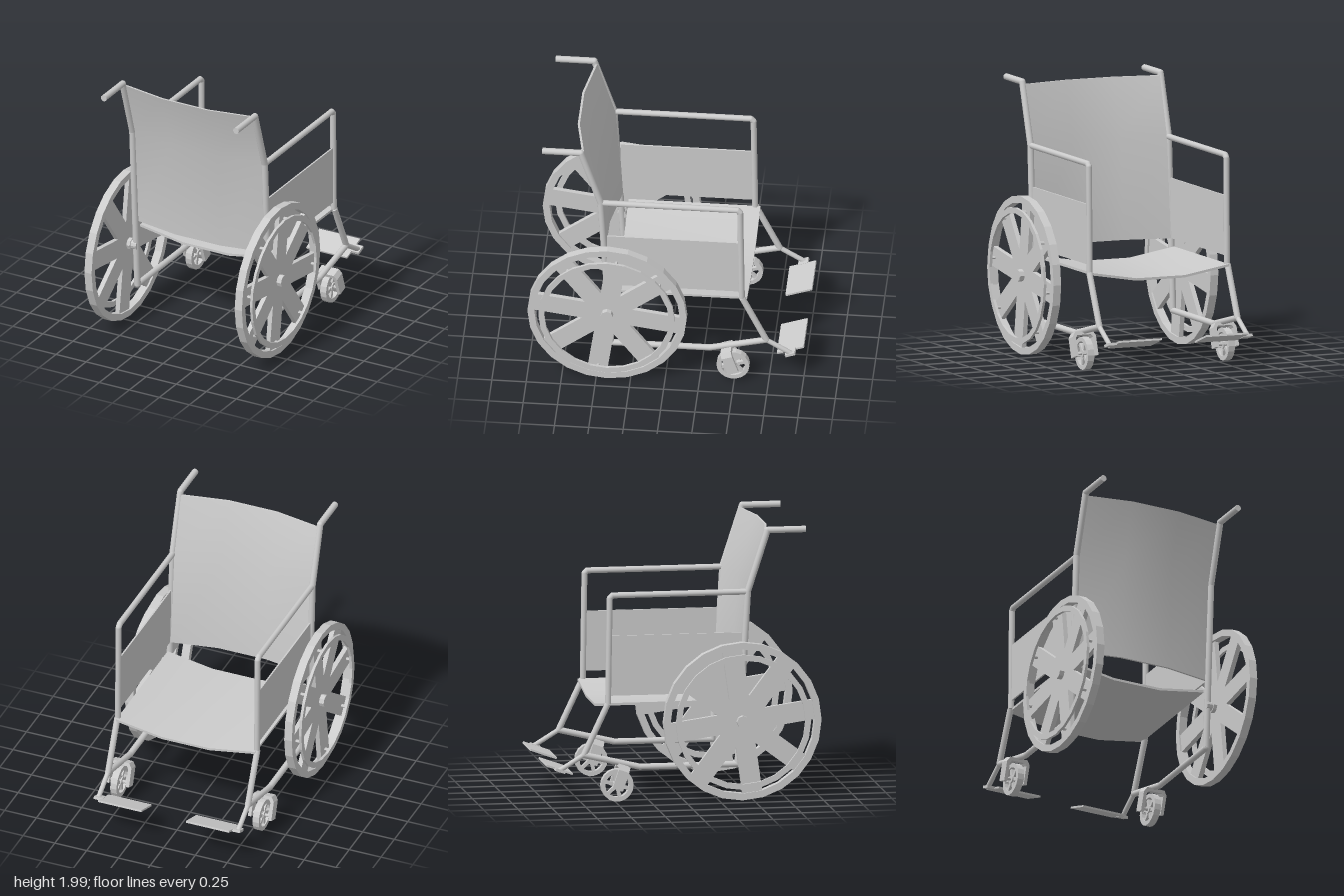
import * as THREE from 'three';
import { toCreasedNormals } from 'three/addons/utils/BufferGeometryUtils.js';

const grey = new THREE.MeshStandardMaterial({ color: 0xcccccc });
const V = (x, y, z) => new THREE.Vector3(x, y, z);

function add(parent, name, geometry, x = 0, y = 0, z = 0) {
  const mesh = new THREE.Mesh(geometry, grey);
  mesh.name = name;
  mesh.position.set(x, y, z);
  parent.add(mesh);
  return mesh;
}

// Bent tube: straight cylinders with a ball at every joint; points are [z, y]
function pipe(parent, name, x, points, r) {
  const group = new THREE.Group();
  group.name = name;
  points.forEach(([z, y], i) => {
    const a = V(x, y, z);
    const inner = i > 0 && i < points.length - 1;
    if (inner) add(group, name + 'Joint', new THREE.SphereGeometry(r, 12, 8), x, y, z);
    if (i === points.length - 1) return;
    const b = V(x, points[i + 1][1], points[i + 1][0]);
    const rod = add(group, name + 'Rod', new THREE.CylinderGeometry(r, r, a.distanceTo(b), 12));
    rod.position.copy(a).lerp(b, 0.5);
    rod.quaternion.setFromUnitVectors(V(0, 1, 0), b.sub(a).normalize());
  });
  parent.add(group);
}

// Cylinder lying along x
function axle(parent, name, r, length, sides, x) {
  const g = new THREE.CylinderGeometry(r, r, length, sides).rotateZ(Math.PI / 2);
  return add(parent, name, toCreasedNormals(g, 0.6), x);
}

// Polygonal ring facing x
function ring(outer, inner, width, sides) {
  const loop = r => Array.from({ length: sides }, (_, i) => {
    const a = (i / sides) * Math.PI * 2;
    return new THREE.Vector2(r * Math.cos(a), r * Math.sin(a));
  });
  const shape = new THREE.Shape(loop(outer));
  shape.holes.push(new THREE.Path(loop(inner).reverse()));
  return new THREE.ExtrudeGeometry(shape, { depth: width, bevelEnabled: false })
    .translate(0, 0, -width / 2).rotateY(Math.PI / 2);
}

function spokes(parent, count, start, length, width, thick) {
  for (let i = 0; i < count; i++) {
    const g = new THREE.BoxGeometry(thick, width, length).translate(0, 0, -length / 2);
    add(parent, 'spoke', g).rotation.x = start + (i / count) * Math.PI * 2;
  }
}

// Fabric panel: a box whose columns sag and whose rows follow place(row, sag, layer)
function sling(rows, place) {
  const g = new THREE.BoxGeometry(3, rows, 1, 3, rows, 1);
  const p = g.attributes.position;
  for (let i = 0; i < p.count; i++) {
    const col = p.getX(i);
    const x = Math.abs(col) > 1 ? Math.sign(col) * 0.545 : Math.sign(col) * 0.19;
    const sag = Math.abs(col) > 1 ? 0 : 1;
    const [y, z] = place(Math.round(p.getY(i) + rows / 2), sag, p.getZ(i));
    p.setXYZ(i, x, y, z);
  }
  return toCreasedNormals(g, 0.5);
}

function bigWheel(s) {
  const wheel = new THREE.Group();
  wheel.name = 'bigWheel';
  add(wheel, 'tyre', ring(0.58, 0.53, 0.06, 24));
  add(wheel, 'handRim', ring(0.497, 0.455, 0.02, 24), s * 0.06);
  spokes(wheel, 8, -0.14, 0.54, 0.145, 0.035);
  axle(wheel, 'hub', 0.045, 0.1, 8, s * 0.005);
  axle(wheel, 'axle', 0.035, 0.12, 10, -s * 0.03);
  // Small pins holding the hand rim
  for (let i = 0; i < 8; i++) {
    const a = -0.14 + i * Math.PI / 4;
    const pin = axle(wheel, 'rimPin', 0.012, 0.05, 6, s * 0.032);
    pin.position.y = 0.476 * Math.sin(a);
    pin.position.z = -0.476 * Math.cos(a);
  }
  wheel.position.set(s * 0.625, 0.59, 0.42);
  return wheel;
}

function caster(s) {
  const group = new THREE.Group();
  group.name = 'caster';
  add(group, 'casterTyre', ring(0.12, 0.088, 0.05, 18));
  spokes(group, 6, 0.3, 0.095, 0.025, 0.03);
  axle(group, 'casterHub', 0.032, 0.05, 10, 0);
  axle(group, 'casterAxle', 0.012, 0.17, 8, 0);
  // Upside-down U fork with chamfered shoulders
  const u = [[-0.092, -0.025], [-0.092, 0.12], [-0.07, 0.155], [0.07, 0.155], [0.092, 0.12], [0.092, -0.025],
    [0.067, -0.025], [0.067, 0.11], [0.055, 0.13], [-0.055, 0.13], [-0.067, 0.11], [-0.067, -0.025]];
  const shape = new THREE.Shape(u.map(([x, y]) => new THREE.Vector2(x, y)));
  const g = new THREE.ExtrudeGeometry(shape, { depth: 0.08, bevelEnabled: false }).translate(0, 0, -0.04);
  add(group, 'fork', g).rotation.x = 0.33;
  group.position.set(s * 0.56, 0.135, -0.49);
  return group;
}

function side(s) {
  const group = new THREE.Group();
  group.name = s > 0 ? 'leftSide' : 'rightSide';
  const x = s * 0.55;
  // Tubular frame
  pipe(group, 'backPost', x, [[0.9, 1.976], [0.62, 1.976], [0.475, 1.53], [0.4, 0.262]], 0.024);
  pipe(group, 'armrest', s * 0.547, [[0.475, 1.527], [-0.52, 1.527], [-0.54, 1.507], [-0.552, 0.73]], 0.022);
  pipe(group, 'lowerRail', x, [[0.4, 0.262], [-0.32, 0.262], [-0.73, 0.36], [-0.555, 0.73]], 0.023);
  pipe(group, 'footrestBar', x, [[-0.73, 0.36], [-0.91, 0.25]], 0.018);
  add(group, 'railEnd', new THREE.SphereGeometry(0.024, 12, 8), x, 0.262, 0.4);
  add(group, 'sidePanel', new THREE.BoxGeometry(0.012, 0.44, 0.97), s * 0.548, 1.01, -0.055);
  // Footrest
  const tilt = 0.34;
  add(group, 'footplate', new THREE.BoxGeometry(0.34, 0.014, 0.205), s * 0.345, 0.249, -0.903).rotation.x = tilt;
  add(group, 'footplateBracket', new THREE.BoxGeometry(0.07, 0.02, 0.075), s * 0.54, 0.249, -0.905).rotation.x = tilt;
  group.add(bigWheel(s), caster(s));
  return group;
}

export function createModel() {
  const model = new THREE.Group();
  model.name = 'wheelchair';
  model.add(side(1), side(-1));
  // Sagging seat
  add(model, 'seat', sling(1, (row, sag, layer) => [
    0.735 - 0.06 * sag + (layer - 0.5) * 0.018, row ? -0.59 : 0.37]));
  // Backrest bent at armrest height
  const heights = [0.79, 1.53, 1.96], depths = [0.425, 0.475, 0.61];
  add(model, 'backrest', sling(2, (row, sag, layer) => [
    heights[row], depths[row] + 0.065 * sag + (layer - 0.5) * -0.016 * -1]));
  return model;
}
